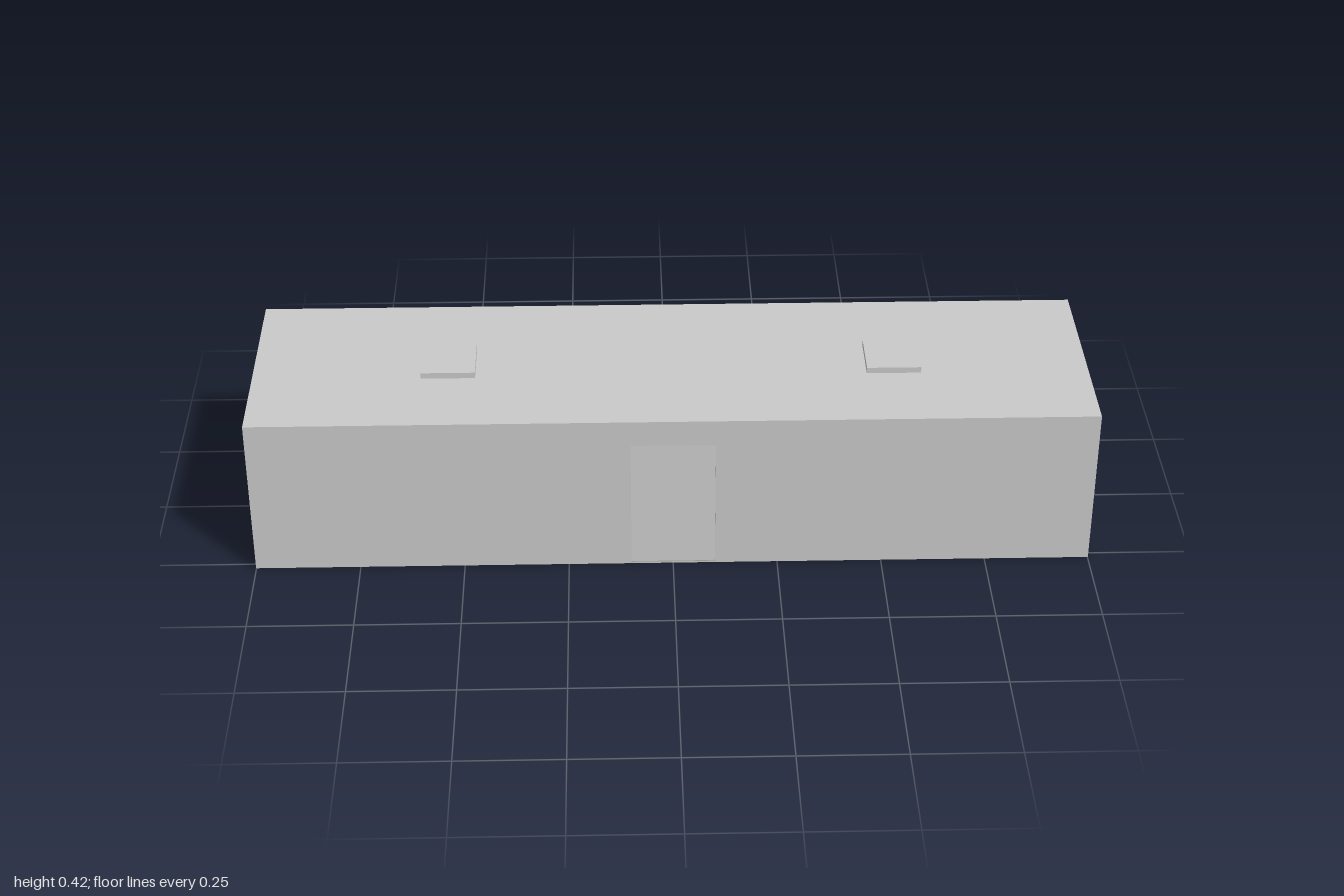
import * as THREE from 'three';

const BASE = 0.005, TOP = 0.405, DOOR_HALF = 0.1, DOOR_TOP = 0.34;

export function createModel() {
  const model = new THREE.Group();
  model.name = 'corridorModule';
  const light = new THREE.MeshStandardMaterial({ color: 0xc9c9c9 });
  light.name = 'light grey panel';
  const dark = new THREE.MeshStandardMaterial({ color: 0xaeaeae });
  dark.name = 'mid grey lining';

  function add(name, geometry, material, parent = model) {
    const mesh = new THREE.Mesh(geometry, material);
    mesh.name = name;
    parent.add(mesh);
    return mesh;
  }

  function box(name, size, position, material, parent) {
    const mesh = add(name, new THREE.BoxGeometry(...size), material, parent);
    mesh.position.set(...position);
    return mesh;
  }

  // Upright panel with a doorway cut up from its lower edge
  function doorPanel(name, half, top, thickness, front, material, parent) {
    const shape = new THREE.Shape([
      [-half, BASE], [-DOOR_HALF, BASE], [-DOOR_HALF, DOOR_TOP], [DOOR_HALF, DOOR_TOP],
      [DOOR_HALF, BASE], [half, BASE], [half, top], [-half, top],
    ].map(([x, y]) => new THREE.Vector2(x, y)));
    const geometry = new THREE.ExtrudeGeometry(shape, { depth: thickness, bevelEnabled: false });
    geometry.translate(0, 0, front - thickness);
    return add(name, geometry, material, parent);
  }

  // Floor: light underside, darker walking surface
  box('floorBase', [2, 0.004, 0.534], [0, 0.002, 0], light);
  box('floorSurface', [1.99, 0.002, 0.534], [0, 0.005, 0], dark);

  // Roof and ceiling
  box('roof', [2, 0.005, 0.546], [0, TOP - 0.0025, 0], light);
  box('ceiling', [1.99, 0.003, 0.534], [0, 0.3985, 0], dark);

  for (const side of [0, 1]) {
    // Long walls with inner lining and a ceiling-level boxed ledge
    const wall = new THREE.Group();
    wall.name = side ? 'backWall' : 'frontWall';
    wall.rotation.y = side * Math.PI;
    model.add(wall);
    doorPanel('outerPanel', 1, 0.4, 0.003, 0.273, light, wall);
    doorPanel('innerLining', 0.995, 0.4, 0.003, 0.27, dark, wall);
    box('ceilingLedge', [1.97, 0.038, 0.067], [0, 0.379, 0.2335], dark, wall);

    // End walls with a raised door surround
    const end = new THREE.Group();
    end.name = side ? 'rightEnd' : 'leftEnd';
    end.rotation.y = (side ? -1 : 1) * Math.PI / 2;
    model.add(end);
    doorPanel('endWall', 0.267, 0.4, 0.006, 0.995, dark, end);
    doorPanel('doorSurround', 0.2, 0.36, 0.004, 0.999, light, end);

    // Roof hatches
    box('roofHatch', [0.13, 0.015, 0.134], [side ? -0.533 : 0.533, 0.4125, 0], light);
  }
  return model;
}
